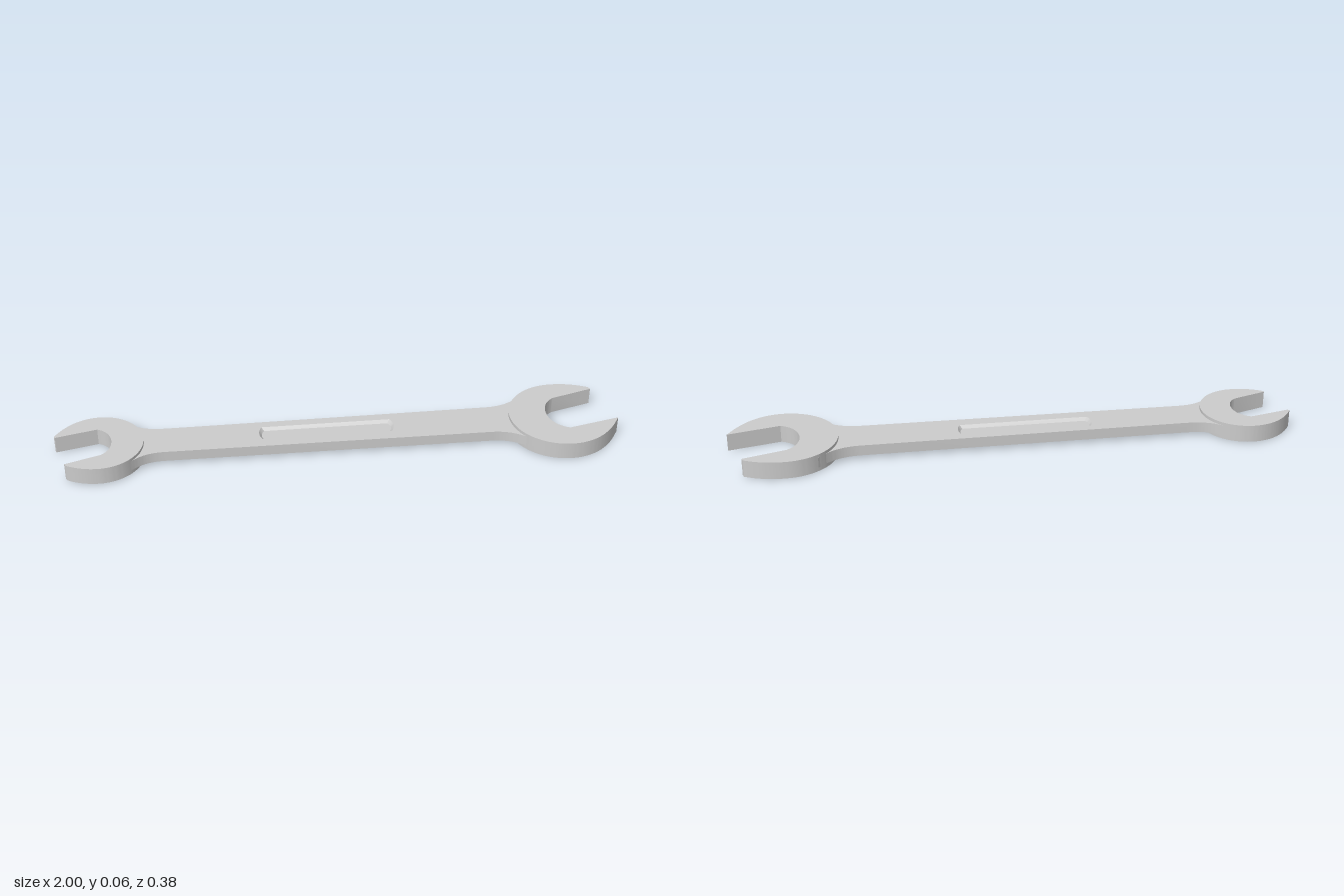
import * as THREE from 'three';
import { toCreasedNormals } from 'three/addons/utils/BufferGeometryUtils.js';

const HEAD_TOP = 0.0625, BAR_BOTTOM = 0.0135, BAR_TOP = 0.0515;
const MID = (BAR_BOTTOM + BAR_TOP) / 2;
const material = new THREE.MeshStandardMaterial({ color: 0xcccccc });

// Plan outlines are drawn as (x, -z), then extruded upwards.
function plate(name, shape, bottom, top) {
  const flat = new THREE.ExtrudeGeometry(shape, { depth: top - bottom, bevelEnabled: false, curveSegments: 32 });
  flat.rotateX(-Math.PI / 2);
  flat.translate(0, bottom, 0);
  const mesh = new THREE.Mesh(toCreasedNormals(flat, 0.5), material);
  mesh.name = name;
  return mesh;
}

// Open jaw: round back, two horns, tilted parallel throat walls and a curved throat.
function jaw(name, o) {
  const s = new THREE.Shape();
  const right = o.side > 0;
  s.moveTo(o.cx, o.r);
  s.absarc(o.cx, 0, o.r, Math.PI / 2, -Math.PI / 2, !right);
  s.quadraticCurveTo(...o.lowerBend, ...o.lowerOuter);
  s.lineTo(...o.lowerTip);
  s.lineTo(...o.lowerThroat);
  s.bezierCurveTo(...o.throatA, ...o.throatB, ...o.upperThroat);
  s.lineTo(...o.upperTip);
  s.lineTo(...o.upperOuter);
  s.quadraticCurveTo(...o.upperBend, o.cx, o.r);
  return plate(name, s, 0, HEAD_TOP);
}

// Slot outline with gently bowed ends, shrunk by an inset.
function slotPoints(inset) {
  const x0 = -0.272 + inset, x1 = 0.187 - inset, half = 0.036 - inset, bow = 0.01;
  const pts = [];
  for (const [x, dir] of [[x1, 1], [x0, -1]]) {
    for (let i = 0; i <= 8; i++) {
      const t = -1 + i / 4;
      pts.push(new THREE.Vector2(x + dir * bow * (1 - t * t), 0.01 + dir * half * t));
    }
  }
  return pts;
}

// Recess with sloping walls and a flat floor, facing up.
function recess() {
  const rim = slotPoints(0), floor = slotPoints(0.009), pos = [];
  const top = BAR_TOP - MID, low = top - 0.011;
  const put = (p, y) => pos.push(p.x, y, -p.y);
  for (let i = 0; i < rim.length; i++) {
    const j = (i + 1) % rim.length;
    put(rim[i], top); put(rim[j], top); put(floor[j], low);
    put(rim[i], top); put(floor[j], low); put(floor[i], low);
    put(floor[i], low); put(floor[j], low); put(new THREE.Vector2(-0.0425, 0.01), low);
  }
  const g = new THREE.BufferGeometry();
  g.setAttribute('position', new THREE.Float32BufferAttribute(pos, 3));
  return toCreasedNormals(g, 0.5);
}

export function createModel() {
  const group = new THREE.Group();
  group.name = 'openEndWrench';

  // Heads
  group.add(jaw('largeJaw', {
    side: 1, cx: 0.803, r: 0.188,
    lowerBend: [0.92, -0.187], lowerOuter: [0.994, -0.057], lowerTip: [1.0, -0.048],
    lowerThroat: [0.815, -0.091], throatA: [0.735, -0.063], throatB: [0.727, 0.058],
    upperThroat: [0.795, 0.099], upperTip: [0.946, 0.143], upperOuter: [0.941, 0.155],
    upperBend: [0.875, 0.19],
  }));
  group.add(jaw('smallJaw', {
    side: -1, cx: -0.842, r: 0.155,
    lowerBend: [-0.9, -0.155], lowerOuter: [-0.952, -0.124], lowerTip: [-0.957, -0.115],
    lowerThroat: [-0.837, -0.075], throatA: [-0.784, -0.05], throatB: [-0.784, 0.055],
    upperThroat: [-0.85, 0.08], upperTip: [-0.996, 0.045], upperOuter: [-1.0, 0.052],
    upperBend: [-0.94, 0.152],
  }));

  // Handle flaring into both heads, pierced where the recesses sit
  const bar = new THREE.Shape();
  bar.moveTo(-0.735, -0.112);
  bar.bezierCurveTo(-0.7, -0.08, -0.67, -0.066, -0.61, -0.066);
  bar.lineTo(0.54, -0.072);
  bar.bezierCurveTo(0.61, -0.074, 0.65, -0.105, 0.69, -0.15);
  bar.lineTo(0.69, 0.152);
  bar.bezierCurveTo(0.65, 0.108, 0.61, 0.083, 0.54, 0.082);
  bar.lineTo(-0.61, 0.075);
  bar.bezierCurveTo(-0.67, 0.076, -0.7, 0.085, -0.735, 0.114);
  bar.closePath();
  bar.holes.push(new THREE.Path(slotPoints(0).reverse()));
  group.add(plate('handle', bar, BAR_BOTTOM, BAR_TOP));

  // Matching recess on each face
  const recessGeometry = recess();
  for (const face of [1, -1]) {
    const mesh = new THREE.Mesh(recessGeometry, material);
    mesh.name = face > 0 ? 'topRecess' : 'bottomRecess';
    mesh.position.y = MID;
    mesh.scale.y = face;
    group.add(mesh);
  }
  return group;
}
